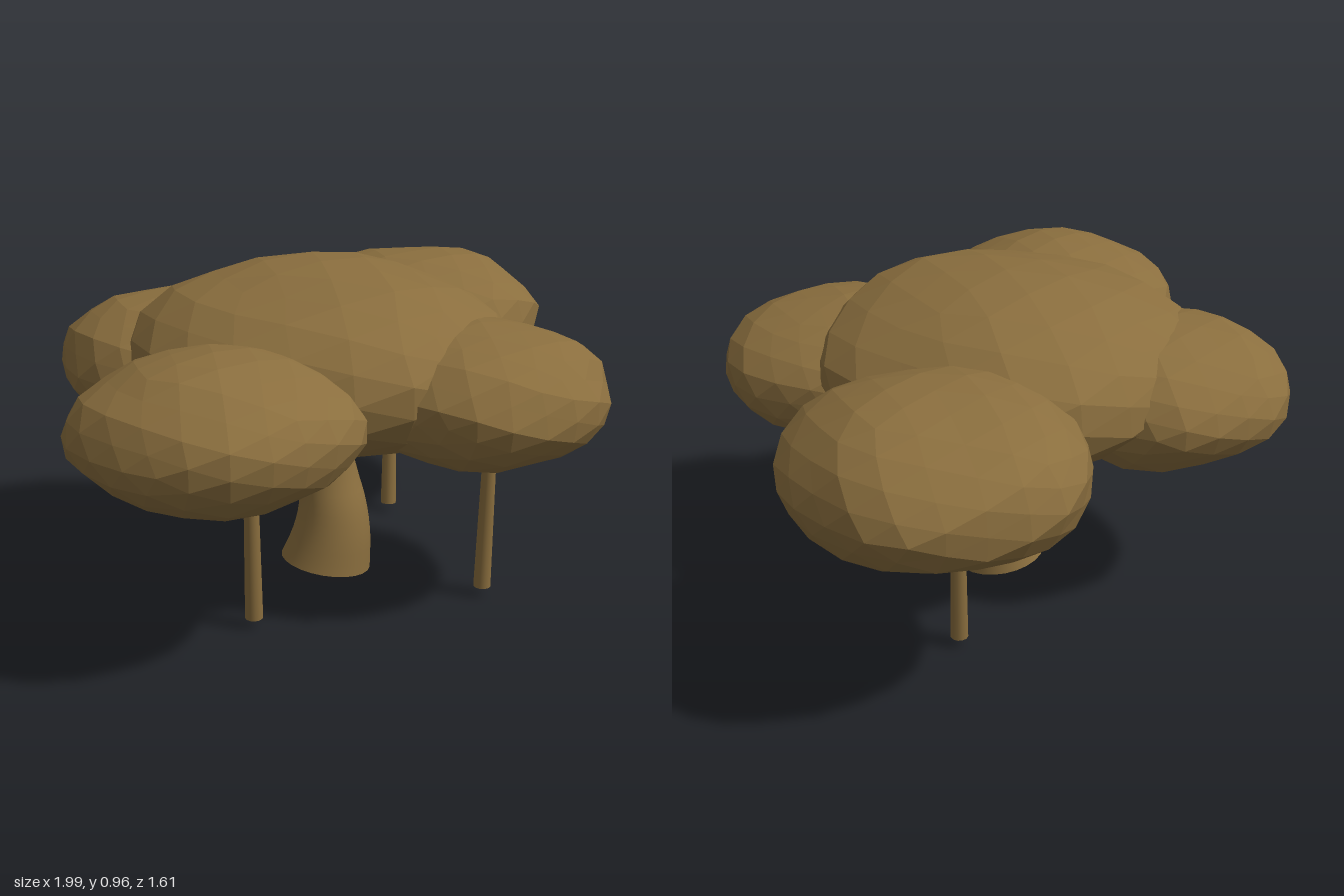
import * as THREE from 'three';

const bark = new THREE.MeshStandardMaterial({ color: 0x8a6e3e, side: THREE.DoubleSide });
bark.name = 'barkBrown';
const foliage = new THREE.MeshStandardMaterial({ color: 0x8a6e3e, flatShading: true });
foliage.name = 'foliageBrown';

// Faceted, slightly lumpy flattened ball
function canopyBlob(name, center, radii, seed) {
  const geo = new THREE.IcosahedronGeometry(1, 3);
  const p = geo.attributes.position;
  for (let i = 0; i < p.count; i++) {
    const x = p.getX(i), y = p.getY(i), z = p.getZ(i);
    const lump = 1 + 0.018 * Math.sin(5 * x + 3 * z + seed) + 0.015 * Math.sin(6 * z - 4 * y + seed * 2.3)
      + 0.012 * Math.sin(9 * y + 7 * x + seed * 1.7);
    p.setXYZ(i, x * lump * radii[0], y * lump * radii[1], z * lump * radii[2]);
  }
  geo.computeVertexNormals();
  const mesh = new THREE.Mesh(geo, foliage);
  mesh.name = name;
  mesh.position.set(...center);
  return mesh;
}

// Curved, tapering trunk with a tilted open foot
function trunk() {
  const path = new THREE.CatmullRomCurve3([
    [-0.027, 0.02, -0.015], [-0.012, 0.12, -0.002], [-0.006, 0.21, -0.005],
    [-0.008, 0.3, -0.027], [-0.018, 0.4, -0.04], [-0.03, 0.56, -0.04],
  ].map((a) => new THREE.Vector3(...a)));
  const geo = new THREE.CylinderGeometry(1, 1, 1, 24, 16, true);
  const p = geo.attributes.position;
  for (let i = 0; i < p.count; i++) {
    const t = p.getY(i) + 0.5;
    const c = path.getPoint(t);
    const r = 0.085 + 0.052 * Math.pow(1 - t, 2);
    const dx = p.getX(i) * r, dz = p.getZ(i) * r;
    const tilt = Math.max(0, 1 - t * 2);
    p.setXYZ(i, c.x + dx, c.y - tilt * (0.13 * dx + 0.09 * dz), c.z + dz);
  }
  geo.computeVertexNormals();
  // Match normals across the seam
  const n = geo.attributes.normal;
  for (let row = 0; row <= 16; row++) {
    const a = row * 25, b = a + 24;
    const v = new THREE.Vector3().fromBufferAttribute(n, a)
      .add(new THREE.Vector3().fromBufferAttribute(n, b)).normalize();
    n.setXYZ(a, v.x, v.y, v.z);
    n.setXYZ(b, v.x, v.y, v.z);
  }
  const mesh = new THREE.Mesh(geo, bark);
  mesh.name = 'trunk';
  return mesh;
}

// Slim hanging root between two points
function propRoot(name, foot, head) {
  const a = new THREE.Vector3(...foot), b = new THREE.Vector3(...head);
  const dir = b.clone().sub(a);
  const mesh = new THREE.Mesh(new THREE.CylinderGeometry(0.019, 0.026, dir.length(), 12), bark);
  mesh.name = name;
  mesh.position.copy(a).add(b).multiplyScalar(0.5);
  mesh.quaternion.setFromUnitVectors(new THREE.Vector3(0, 1, 0), dir.normalize());
  return mesh;
}

export function createModel() {
  const tree = new THREE.Group();
  tree.name = 'spreadingTree';
  tree.add(
    trunk(),
    canopyBlob('centerCanopy', [-0.03, 0.69, -0.03], [0.57, 0.27, 0.58], 0.4),
    canopyBlob('rightCanopy', [-0.61, 0.635, 0.22], [0.39, 0.207, 0.4], 1.9),
    canopyBlob('frontCanopy', [0.17, 0.63, 0.43], [0.37, 0.202, 0.37], 3.1),
    canopyBlob('leftCanopy', [0.58, 0.65, -0.28], [0.42, 0.22, 0.42], 4.6),
    canopyBlob('backCanopy', [-0.25, 0.63, -0.43], [0.37, 0.205, 0.38], 5.5),
    propRoot('rightPropRoot', [-0.46, 0.027, 0.18], [-0.48, 0.56, 0.2]),
    propRoot('frontPropRoot', [0.187, 0.027, 0.45], [0.185, 0.56, 0.47]),
    propRoot('leftPropRoot', [0.435, 0.027, -0.23], [0.46, 0.56, -0.25]),
  );
  return tree;
}
